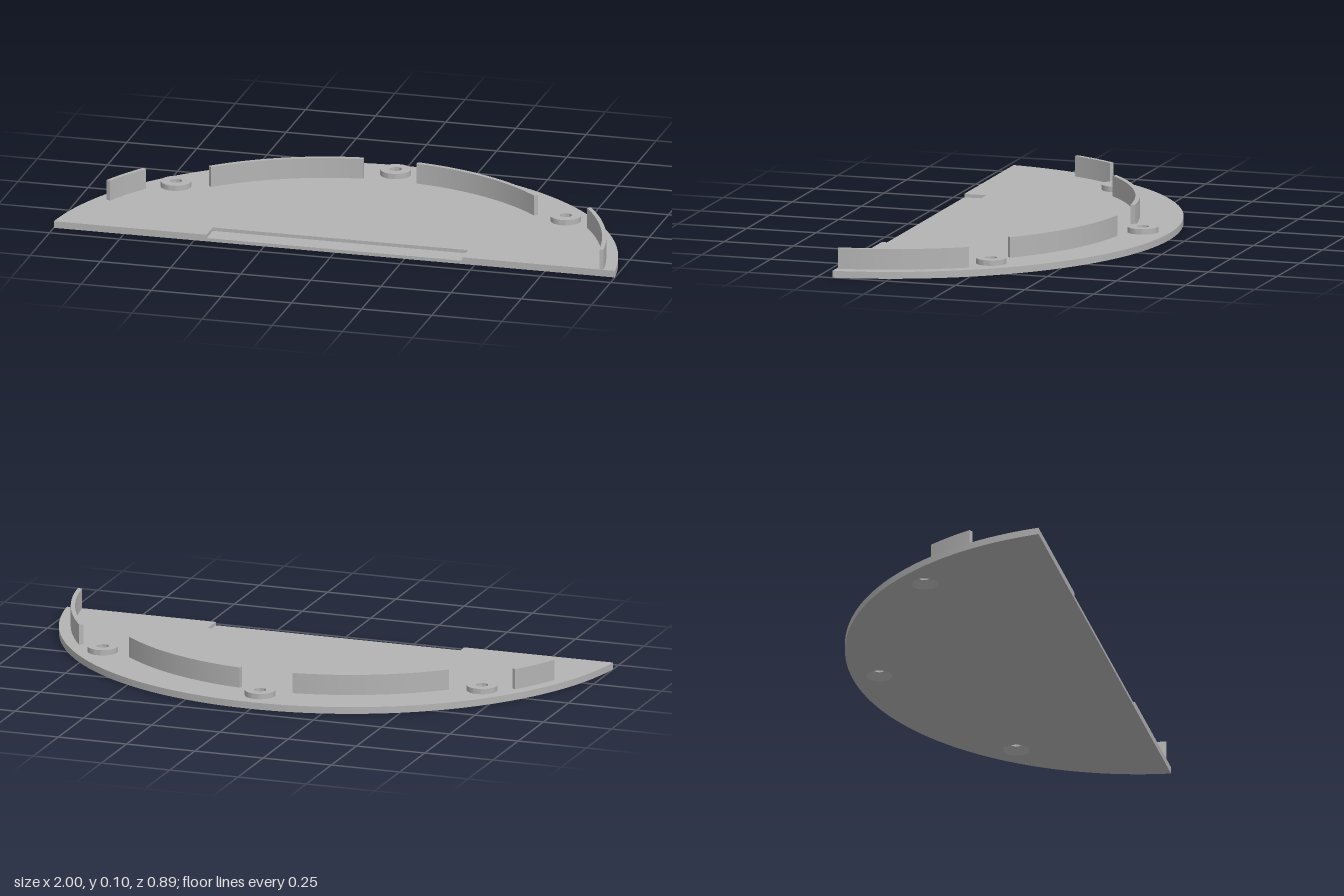
import * as THREE from 'three';
import { toCreasedNormals } from 'three/addons/utils/BufferGeometryUtils.js';

const CZ = 0.562;            // z of the common arc centre
const R = 1.0067;            // plate radius
const FRONT = 0.445;         // z of the straight edge
const PLATE = 0.024, WALL_TOP = 0.096, BOSS_TOP = 0.043;
const NOTCH_X = 0.455, NOTCH_Z = 0.365, NOTCH_FLOOR = 0.012;
const BOSS_R = 0.053, BORE_R = 0.021, SINK_R = 0.045;
const rad = THREE.MathUtils.degToRad;

// Extrude a plan shape (shape y = -z) upwards from y0 to y1
function slab(shape, y0, y1, curveSegments) {
  const g = new THREE.ExtrudeGeometry(shape, { depth: y1 - y0, bevelEnabled: false, curveSegments });
  g.rotateX(-Math.PI / 2).translate(0, y0, 0);
  return toCreasedNormals(g, rad(30));
}

export function createModel() {
  const group = new THREE.Group();
  const grey = new THREE.MeshStandardMaterial({ color: 0xb4b4b4 });
  grey.name = 'grey';
  const add = (name, geometry) => {
    const mesh = new THREE.Mesh(geometry, grey);
    mesh.name = name;
    group.add(mesh);
    return mesh;
  };

  // Screw positions on a shared arc, angles measured from the back
  const screws = [-49.6, 0, 49.6].map(a => [0.912 * Math.sin(rad(a)), CZ - 0.912 * Math.cos(rad(a))]);

  // Base plate: circular segment with a notch in the straight edge
  const end = Math.asin((CZ - FRONT) / R);
  const plate = new THREE.Shape();
  plate.absarc(0, -CZ, R, end, Math.PI - end, false);
  plate.lineTo(-NOTCH_X, -FRONT);
  plate.lineTo(-NOTCH_X, -NOTCH_Z);
  plate.lineTo(NOTCH_X, -NOTCH_Z);
  plate.lineTo(NOTCH_X, -FRONT);
  plate.closePath();
  for (const [x, z] of screws) {
    const hole = new THREE.Path();
    hole.absarc(x, -z, SINK_R, 0, Math.PI * 2, true);
    plate.holes.push(hole);
  }
  add('basePlate', slab(plate, 0, PLATE, 64));

  // Thin floor of the notch
  const floor = new THREE.BoxGeometry(NOTCH_X * 2, NOTCH_FLOOR, FRONT - NOTCH_Z);
  floor.translate(0, NOTCH_FLOOR / 2, (FRONT + NOTCH_Z) / 2);
  add('notchFloor', floor);

  // Screw bosses, bored through and countersunk from below
  const profile = [
    [BOSS_R, PLATE], [BOSS_R, BOSS_TOP], [BORE_R, BOSS_TOP], [BORE_R, PLATE], [SINK_R, 0],
  ].map(p => new THREE.Vector2(...p));
  const boss = toCreasedNormals(new THREE.LatheGeometry(profile, 48), rad(30));
  for (const [x, z] of screws) add('screwBoss', boss).position.set(x, 0, z);

  // Curved upright walls: name, inner radius, outer radius, start and end angle
  const walls = [
    ['innerWallLeft', 0.841, 0.857, 6.5, 43.2],
    ['innerWallRight', 0.841, 0.857, -43.2, -6.5],
    ['outerWallLeft', 0.951, 0.966, 55.7, 82.7],
    ['outerWallRight', 0.951, 0.966, -66.4, -55.7],
  ];
  for (const [name, r0, r1, a0, a1] of walls) {
    const s = Math.PI / 2 - rad(a0), e = Math.PI / 2 - rad(a1);
    const shape = new THREE.Shape();
    shape.absarc(0, -CZ, r1, e, s, false);
    shape.absarc(0, -CZ, r0, s, e, true);
    shape.closePath();
    add(name, slab(shape, PLATE, WALL_TOP, 24));
  }
  return group;
}
